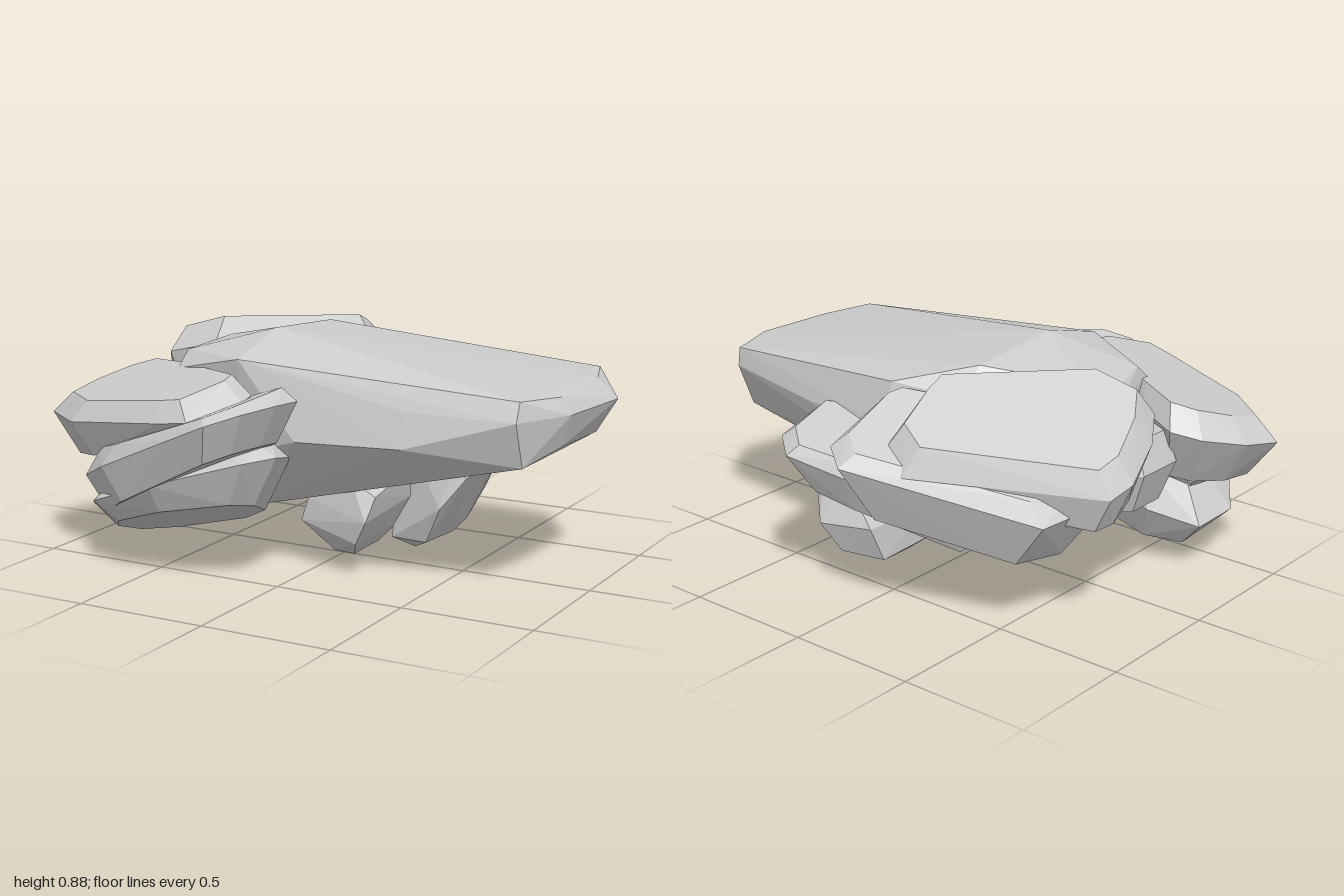
import * as THREE from 'three';
import { ConvexGeometry } from 'three/addons/geometries/ConvexGeometry.js';

const stone = new THREE.MeshStandardMaterial({ color: 0xcccccc });
stone.name = 'stone grey';

// Faceted rock wrapped around a few corner points
function rock(name, corners) {
  const mesh = new THREE.Mesh(new ConvexGeometry(corners.map(c => new THREE.Vector3(...c))), stone);
  mesh.name = name;
  return mesh;
}

// Bevelled slab: an [x, z] outline repeated as tilted rings.
// Each ring is [inset, height at centre, slope along x, slope along z].
function slab(name, outline, rings) {
  const cx = outline.reduce((s, p) => s + p[0], 0) / outline.length;
  const cz = outline.reduce((s, p) => s + p[1], 0) / outline.length;
  const corners = [];
  for (const [inset, y, sx, sz] of rings) {
    for (const [x, z] of outline) {
      const dx = (x - cx) * inset, dz = (z - cz) * inset;
      corners.push([cx + dx, y + sx * dx + sz * dz, cz + dz]);
    }
  }
  return rock(name, corners);
}

export function createModel() {
  const group = new THREE.Group();
  group.name = 'rockCluster';

  // Large tapering slab on top, as cross-sections along x
  const sections = [
    [-0.58, [[0.1, 0.72], [0, 0.74], [0.05, 0.5]]],
    [-0.53, [[0.32, 0.72], [0.25, 0.78], [0.3, 0.45], [-0.05, 0.79], [-0.05, 0.4]]],
    [-0.2, [[0.43, 0.8], [0.15, 0.875], [-0.25, 0.845], [-0.35, 0.75], [0.4, 0.45], [-0.35, 0.4], [0.28, 0.23], [-0.25, 0.24]]],
    [0.05, [[0.46, 0.53], [-0.44, 0.78], [-0.48, 0.62], [-0.45, 0.45]]],
    [0.45, [[0.42, 0.54], [0.39, 0.67], [-0.46, 0.62], [0.25, 0.41], [-0.35, 0.41]]],
    [0.85, [[0.34, 0.66], [0.31, 0.73], [-0.42, 0.73], [-0.43, 0.66], [0.28, 0.49], [-0.36, 0.49]]],
    [0.92, [[0.12, 0.72], [-0.22, 0.73], [0.1, 0.54], [-0.22, 0.53]]],
    [0.96, [[0.12, 0.66]]],
    [1.0, [[-0.22, 0.66]]],
  ];
  group.add(rock('mainSlab', sections.flatMap(([x, ring]) => ring.map(([z, y]) => [x, y, z]))));

  // Three stacked slabs at the front
  group.add(slab('frontUpperSlab',
    [[-1, 0.47], [-0.97, 0.31], [-0.88, 0.16], [-0.78, 0.1], [-0.58, 0.2], [-0.2, 0.47], [-0.1, 0.5], [-0.09, 0.58], [-0.2, 0.77], [-0.33, 0.75], [-0.8, 0.63]],
    [[0.8, 0.695, 0.2, -0.2], [1, 0.62, 0.18, -0.15], [0.75, 0.46, 0.22, 0]]));
  group.add(slab('frontMiddleSlab',
    [[-0.76, 0.6], [-0.6, 0.72], [-0.25, 0.8], [-0.09, 0.83], [0.01, 0.75], [0.06, 0.6], [0.07, 0.47], [-0.1, 0.4], [-0.5, 0.25], [-0.72, 0.35]],
    [[0.85, 0.61, 0.38, -0.05], [1, 0.54, 0.42, 0.08], [0.8, 0.4, 0.48, 0.1]]));
  group.add(slab('frontLowerSlab',
    [[-0.8, 0.5], [-0.7, 0.64], [-0.4, 0.72], [-0.05, 0.65], [0.03, 0.55], [0, 0.4], [-0.2, 0.25], [-0.6, 0.24], [-0.78, 0.32]],
    [[0.8, 0.42, 0.33, -0.1], [1, 0.34, 0.33, 0.15], [0.75, 0.2, 0.25, 0.35]]));

  // Three stacked slabs at the back
  group.add(slab('backUpperSlab',
    [[-0.88, -0.26], [-0.86, -0.36], [-0.25, -0.73], [-0.13, -0.69], [-0.1, -0.5], [-0.1, -0.42], [-0.57, 0], [-0.76, 0.03], [-0.83, -0.08]],
    [[0.85, 0.755, 0.36, 0.44], [1, 0.655, 0.3, 0.38], [0.82, 0.48, 0.24, 0.12]]));
  group.add(slab('backMiddleSlab',
    [[-0.7, -0.52], [-0.06, -0.84], [0.03, -0.78], [0.06, -0.5], [0.04, -0.44], [-0.15, -0.38], [-0.6, -0.05], [-0.77, -0.25]],
    [[0.85, 0.67, 0.36, 0.28], [1, 0.6, 0.34, 0.2], [0.7, 0.35, 0.26, 0]]));
  group.add(slab('backLowerSlab',
    [[-0.5, -0.5], [0.04, -0.72], [0.25, -0.78], [0.35, -0.7], [0.39, -0.47], [0.2, -0.35], [-0.4, -0.2]],
    [[0.85, 0.58, 0.22, 0.15], [1, 0.51, 0.25, 0.05], [0.68, 0.36, 0.3, 0]]));

  // Hidden core joining the slabs on the right side
  group.add(slab('coreRock',
    [[-0.78, -0.05], [-0.78, 0.15], [-0.5, 0.4], [-0.2, 0.3], [-0.2, -0.3], [-0.5, -0.25]],
    [[0.85, 0.62, 0, 0], [1, 0.52, 0.05, 0], [0.8, 0.34, -0.05, 0]]));

  // Two small rocks underneath
  group.add(rock('lowerFrontRock', [
    [-0.06, 0.22, 0.1], [-0.05, 0.18, 0.24], [-0.02, 0.27, 0.24], [0, 0.28, 0.02],
    [0.17, 0.36, 0.26], [0.17, 0.37, 0], [0.27, 0.36, -0.02], [0.27, 0.31, 0.26],
    [0.25, 0.22, 0.3], [0.25, 0.24, -0.06], [0.2, 0.13, 0.28], [0.19, 0.12, -0.03],
    [0.14, 0.06, 0.18], [0.07, 0.07, 0.2], [0.06, 0.08, 0.03], [0.15, 0.07, 0]]));
  group.add(rock('lowerBackRock', [
    [0.14, 0.05, -0.12], [0.14, 0.04, -0.4], [0.2, 0, -0.2], [0.28, 0.03, -0.37],
    [0.29, 0.06, -0.47], [0.29, 0.05, -0.11], [0.34, 0.18, -0.53], [0.37, 0.2, -0.06],
    [0.46, 0.32, -0.1], [0.465, 0.37, -0.42], [0.41, 0.39, -0.1], [0.42, 0.42, -0.42],
    [0.28, 0.33, -0.1], [0.28, 0.35, -0.45], [0.14, 0.18, -0.15], [0.15, 0.18, -0.46]]));

  return group;
}
